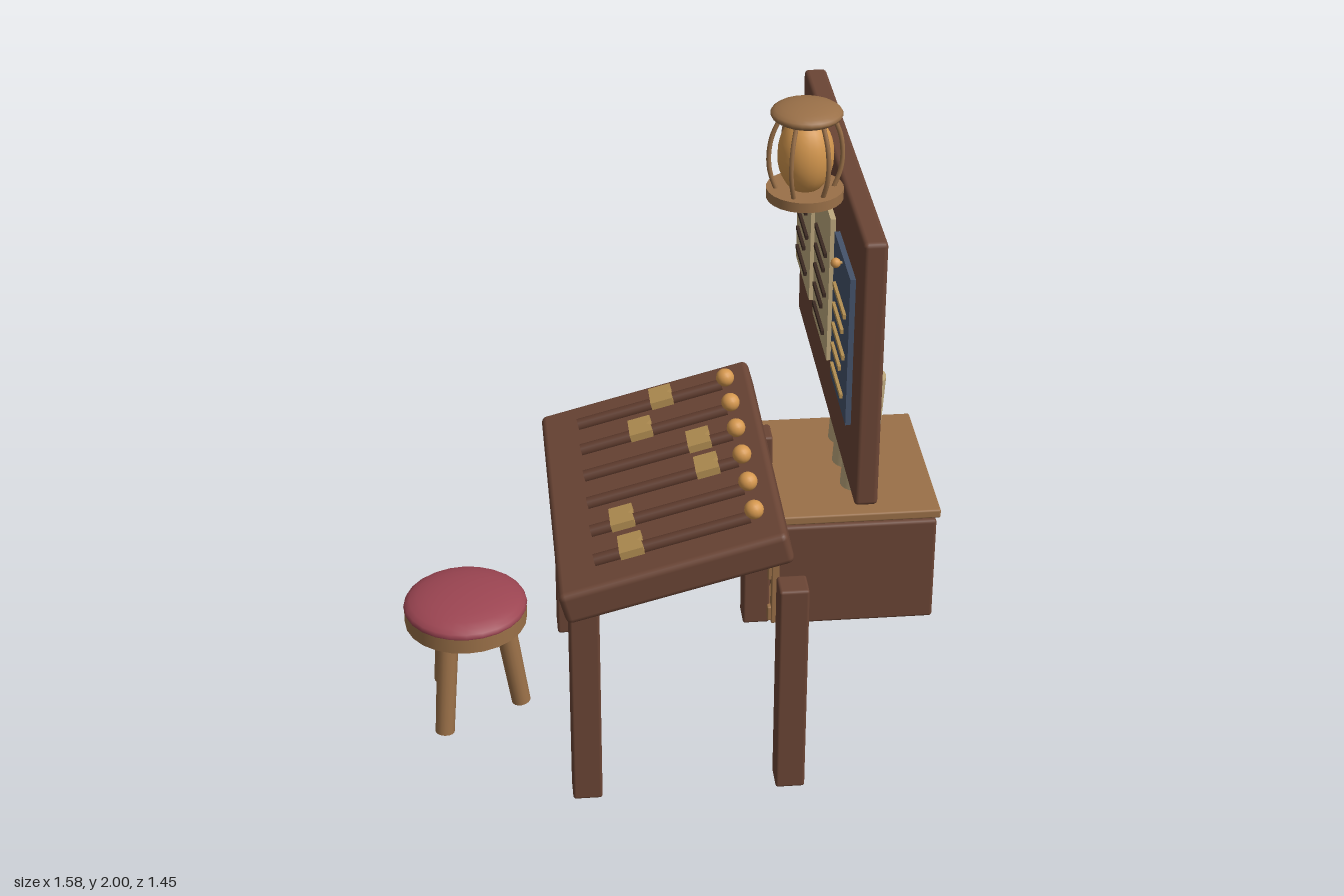
import * as THREE from 'three';
import { RoundedBoxGeometry } from 'three/addons/geometries/RoundedBoxGeometry.js';

const mat = (name, color) => new THREE.MeshStandardMaterial({ name, color });

export function createModel() {
  const darkWood = mat('dark wood', 0x6b4535);
  const railWood = mat('rail wood', 0x5e3b2d);
  const lightWood = mat('light wood', 0x9a7048);
  const amber = mat('amber', 0xd4974e);
  const brass = mat('brass', 0xb28e52);
  const paper = mat('paper', 0xbfa97e);
  const bluePaper = mat('blue paper', 0x45536b);
  const cushionRed = mat('cushion red', 0x9c4552);
  const ink = mat('ink', 0x3b2a22);

  const root = new THREE.Group();
  const add = (parent, name, geometry, material, x = 0, y = 0, z = 0) => {
    const mesh = new THREE.Mesh(geometry, material);
    mesh.name = name;
    mesh.position.set(x, y, z);
    parent.add(mesh);
    return mesh;
  };
  const group = (name, x = 0, y = 0, z = 0) => {
    const g = new THREE.Group();
    g.name = name;
    g.position.set(x, y, z);
    root.add(g);
    return g;
  };
  // Box given by its minimum and maximum on each axis, with a softened edge
  const block = (parent, name, material, [x0, x1], [y0, y1], [z0, z1], r = 0.008) =>
    add(parent, name, new RoundedBoxGeometry(x1 - x0, y1 - y0, z1 - z0, 2, r), material,
      (x0 + x1) / 2, (y0 + y1) / 2, (z0 + z1) / 2);
  // Cylinder between two points
  const rod = (parent, name, material, a, b, rTop, rBottom = rTop, sides = 16) => {
    const p = new THREE.Vector3(...a), q = new THREE.Vector3(...b);
    const dir = q.clone().sub(p);
    const m = add(parent, name, new THREE.CylinderGeometry(rTop, rBottom, dir.length(), sides), material);
    m.position.copy(p).add(q).multiplyScalar(0.5);
    m.quaternion.setFromUnitVectors(new THREE.Vector3(0, 1, 0), dir.normalize());
    return m;
  };

  // Sloping desk top
  const deskTop = group('deskTop', -0.063, 0.719, 0.1375);
  deskTop.rotation.z = THREE.MathUtils.degToRad(15);
  add(deskTop, 'deskSlab', new RoundedBoxGeometry(0.62, 0.095, 0.935, 2, 0.018), darkWood);

  // Notched tag that slides along a rail
  const tagShape = new THREE.Shape();
  tagShape.moveTo(-0.032, -0.042);
  tagShape.lineTo(0.032, -0.042);
  tagShape.lineTo(0.032, -0.014);
  tagShape.lineTo(0.02, 0);
  tagShape.lineTo(0.032, 0.014);
  tagShape.lineTo(0.032, 0.042);
  tagShape.lineTo(-0.032, 0.042);
  tagShape.closePath();
  const tagGeo = new THREE.ExtrudeGeometry(tagShape, { depth: 0.022, bevelEnabled: false });
  tagGeo.rotateX(-Math.PI / 2);
  const knobGeo = new THREE.SphereGeometry(0.026, 16, 12);

  // Six rails, each with a tag and an end knob
  [-0.03, -0.1, 0.05, 0.058, -0.184, -0.171].forEach((tagX, i) => {
    const z = -0.21 + i * 0.14 - 0.1375;
    rod(deskTop, 'rail', railWood, [-0.2, 0.054, z], [0.225, 0.054, z], 0.018);
    add(deskTop, 'slidingTag', tagGeo, brass, (tagX + 0.0785) / 0.966, 0.06, z);
    add(deskTop, 'railKnob', knobGeo, amber, 0.241, 0.075, z);
  });

  // Desk legs
  for (const x of [-0.305, 0.25]) for (const z of [-0.235, 0.55])
    block(root, 'deskLeg', darkWood, [x - 0.04, x + 0.04], [0.008, x < 0 ? 0.64 : 0.655], [z - 0.04, z + 0.04]);

  // Stool
  const stool = group('stool', -0.615, 0, 0.122);
  add(stool, 'stoolSeat', new THREE.CylinderGeometry(0.172, 0.172, 0.05, 24), lightWood, 0, 0.328, 0);
  const cushion = add(stool, 'stoolCushion',
    new THREE.SphereGeometry(0.174, 24, 14), cushionRed, 0, 0.352, 0);
  cushion.scale.y = 0.27;
  for (let i = 0; i < 3; i++) {
    const a = (i * Math.PI * 2) / 3, c = Math.cos(a), s = Math.sin(a);
    rod(stool, 'stoolLeg', lightWood, [c * 0.147, 0.008, s * 0.147], [c * 0.102, 0.32, s * 0.102], 0.03, 0.027);
  }

  // Chest with slatted end and lid
  const chest = group('chest');
  block(chest, 'chestBody', darkWood, [0.305, 0.78], [0.012, 0.355], [-0.71, -0.175], 0.01);
  block(chest, 'chestLid', lightWood, [0.3, 0.788], [0.37, 0.398], [-0.728, -0.163], 0.006);
  for (const z of [-0.7, -0.19])
    block(chest, 'chestPost', lightWood, [0.292, 0.316], [0.018, 0.372], [z - 0.016, z + 0.016], 0.004);
  for (const y of [0.05, 0.195, 0.335])
    block(chest, 'chestSlat', lightWood, [0.281, 0.308], [y - 0.024, y + 0.024], [-0.714, -0.178], 0.004);

  // Leaning paper rolls standing in the chest
  for (const [z, top] of [[-0.325, 0.775], [-0.455, 0.855], [-0.595, 0.722]]) {
    const h = top - 0.35;
    rod(root, 'paperRoll', paper, [0.585 - h * 0.055, 0.35, z - h * 0.035], [0.585, top, z], 0.051, 0.051, 20);
  }

  // Notice board with pinned sheets
  const board = group('noticeBoard');
  block(board, 'boardPanel', darkWood, [0.375, 0.435], [0.998, 1.738], [-0.342, 0.725], 0.012);
  [-0.14, 0.195, 0.528].forEach((z, i) => {
    const blue = i === 2;
    add(board, 'sheet', new THREE.BoxGeometry(0.014, 0.41, 0.265), blue ? bluePaper : paper, 0.362, 1.405, z);
    add(board, 'pin', new THREE.SphereGeometry(0.013, 12, 8), amber, 0.339, 1.59, z);
    rod(board, 'pinShaft', brass, [0.339, 1.59, z], [0.36, 1.59, z], 0.004, 0.004, 8);
    [0.18, 0.15, 0.18, 0.13, 0.17].forEach((w, j) =>
      add(board, 'ruledMark', new THREE.BoxGeometry(0.008, 0.012, w), blue ? brass : ink,
        0.351, 1.485 - j * 0.058, z - 0.09 + w / 2));
  });

  // Lantern
  const lantern = group('lantern', 0.265, 0, 0.475);
  add(lantern, 'lanternBase', new THREE.CylinderGeometry(0.096, 0.096, 0.026, 24), lightWood, 0, 1.764, 0);
  const glow = add(lantern, 'lanternGlass', new THREE.SphereGeometry(0.07, 20, 16), amber, 0, 1.865, 0);
  glow.scale.y = 1.45;
  const cap = add(lantern, 'lanternCap', new THREE.SphereGeometry(0.089, 24, 12), lightWood, 0, 1.974, 0);
  cap.scale.y = 0.29;
  const ribCurve = new THREE.CatmullRomCurve3([[0.07, 1.77], [0.087, 1.82], [0.091, 1.865], [0.084, 1.915], [0.064, 1.965]]
    .map(([x, y]) => new THREE.Vector3(x, y, 0)));
  const ribGeo = new THREE.TubeGeometry(ribCurve, 14, 0.006, 8);
  for (let i = 0; i < 6; i++)
    add(lantern, 'lanternRib', ribGeo, lightWood).rotation.y = (i * Math.PI) / 3;

  return root;
}
